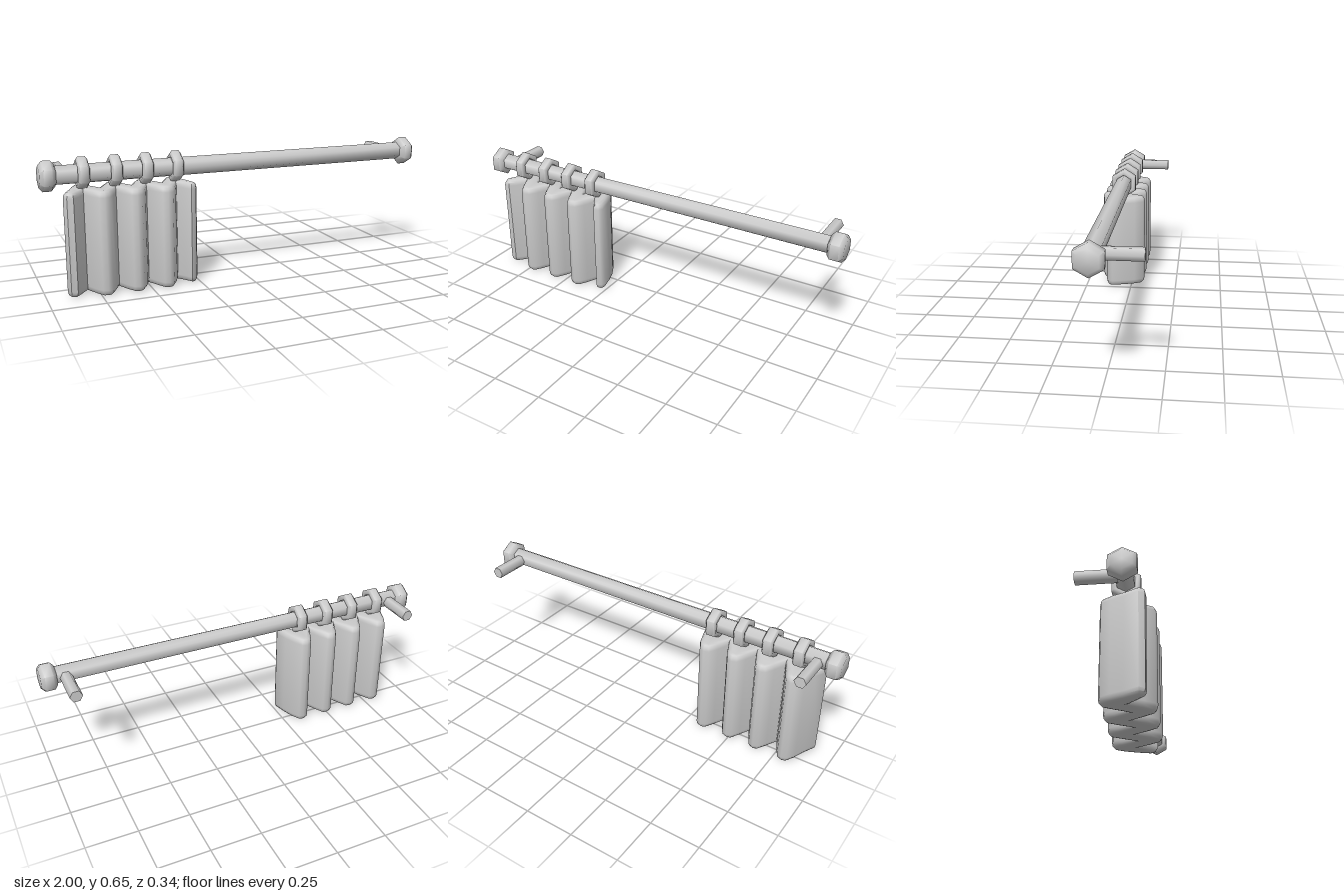
import * as THREE from 'three';
import { toCreasedNormals } from 'three/addons/utils/BufferGeometryUtils.js';

const material = new THREE.MeshStandardMaterial({ color: 0xcccccc });
const ROD_Y = 0.576, ROD_Z = 0.045;
const RINGS = [-0.8, -0.645, -0.495, -0.345];

function add(parent, name, geometry, x, y, z) {
  const mesh = new THREE.Mesh(geometry, material);
  mesh.name = name;
  mesh.position.set(x, y, z);
  parent.add(mesh);
  return mesh;
}

// Six-sided turned part lying along x, with a corner pointing up
function hexLathe(profile) {
  const points = profile.map(([r, h]) => new THREE.Vector2(r, h));
  const geometry = new THREE.LatheGeometry(points, 6, Math.PI / 2);
  geometry.rotateZ(Math.PI / 2);
  return toCreasedNormals(geometry, 1.1);
}

// Plan outline of the gathered cloth, as [x, z] pairs
function curtainOutline() {
  const front = [[-0.903, 0.105], [-0.89, 0.132], [-0.86, 0.135], [-0.832, 0.105]];
  const back = [[-0.872, 0.04]];
  RINGS.forEach((x, i) => {
    front.push([x, 0.06]);
    if (i < RINGS.length - 1) {
      const mid = (x + RINGS[i + 1]) / 2;
      front.push([mid - 0.052, 0.118], [mid - 0.025, 0.162], [mid, 0.17], [mid + 0.025, 0.162], [mid + 0.052, 0.118]);
    }
    back.push([x - 0.05, -0.018], [x - 0.025, -0.062], [x, -0.07], [x + 0.025, -0.062], [x + 0.05, -0.018]);
    if (i < RINGS.length - 1) back.push([(x + RINGS[i + 1]) / 2, 0.042]);
  });
  front.push([-0.315, 0.108], [-0.295, 0.138], [-0.27, 0.13], [-0.258, 0.105]);
  back.push([-0.275, 0.04]);
  return [...front, ...back.reverse()];
}

export function createModel() {
  const group = new THREE.Group();

  // Rod
  add(group, 'rod', hexLathe([[0, -0.94], [0.045, -0.94], [0.045, 0.94], [0, 0.94]]), 0, ROD_Y, ROD_Z);

  // Finials and wall brackets at both ends
  const finial = hexLathe([[0, -0.0375], [0.052, -0.0375], [0.073, -0.02], [0.073, 0.02], [0.052, 0.0375], [0, 0.0375]]);
  const bracket = new THREE.CylinderGeometry(0.03, 0.03, 0.2, 6);
  bracket.rotateY(Math.PI / 2).rotateX(Math.PI / 2);
  for (const side of [-1, 1]) {
    add(group, side < 0 ? 'rightFinial' : 'leftFinial', finial, side * 0.9625, ROD_Y - 0.002, ROD_Z);
    add(group, side < 0 ? 'rightBracket' : 'leftBracket', bracket, side * 0.882, 0.574, -0.07);
  }

  // Curtain rings
  const ring = hexLathe([
    [0.047, -0.024], [0.064, -0.028], [0.077, -0.018], [0.077, 0.018],
    [0.064, 0.028], [0.047, 0.024], [0.047, -0.024],
  ]);
  for (const x of RINGS) add(group, 'curtainRing', ring, x, ROD_Y + 0.002, ROD_Z).scale.z = 0.95;

  // Gathered curtain with rounded top and bottom hems
  const shape = new THREE.Shape(curtainOutline().map(([x, z]) => new THREE.Vector2(x, -z)));
  const cloth = new THREE.ExtrudeGeometry(shape, {
    depth: 0.447, bevelThickness: 0.03, bevelSize: 0.022, bevelOffset: -0.022, bevelSegments: 3,
  });
  cloth.rotateX(-Math.PI / 2);
  add(group, 'curtain', toCreasedNormals(cloth, 0.9), 0, 0.03, 0);

  return group;
}
